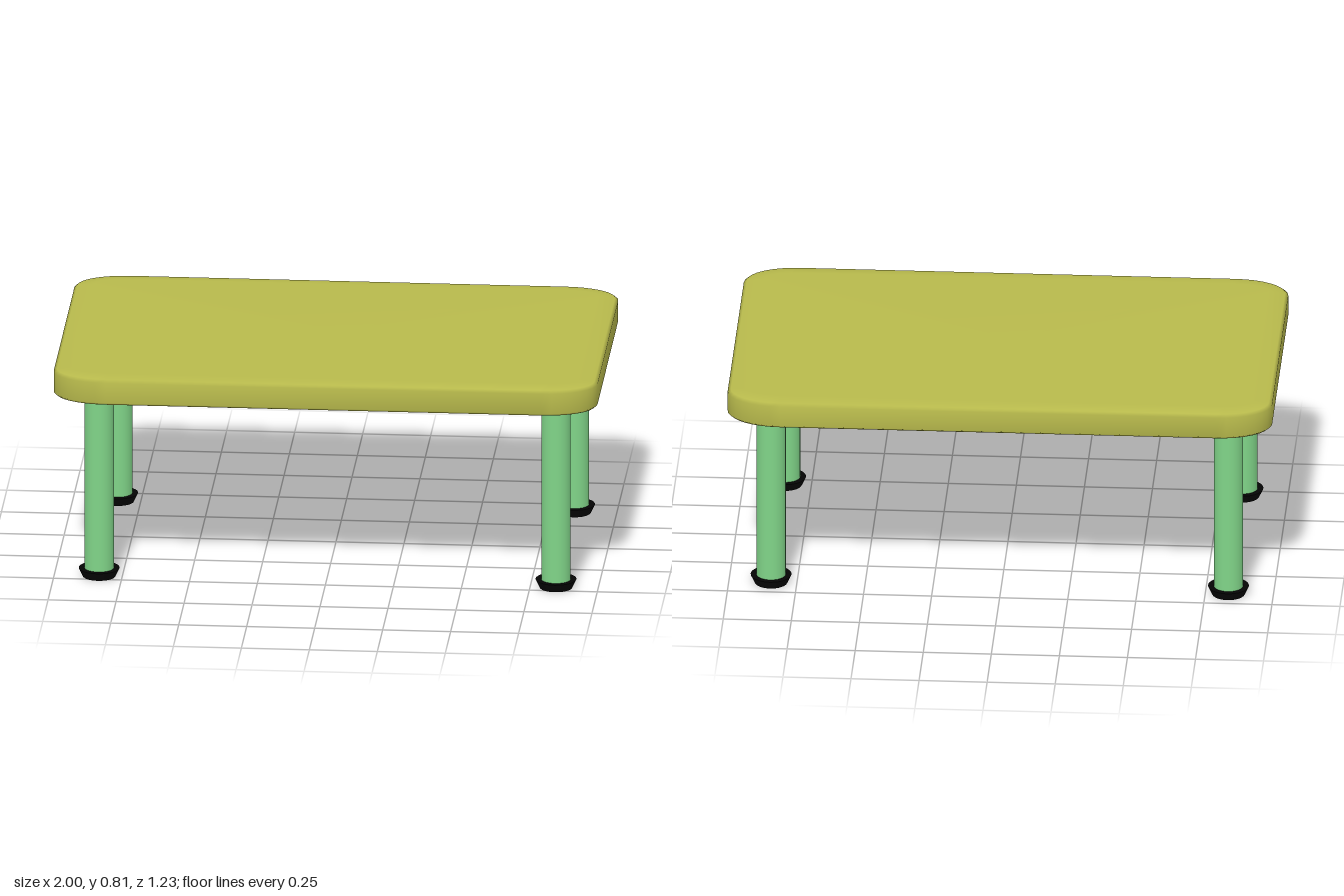
import * as THREE from 'three';

// Rounded-rectangle slab with softened rims, built from stacked outline rings.
function slabGeometry(halfX, halfZ, cornerX, cornerZ, y0, y1) {
  const profile = [[0.07, y0], [0.012, y0 + 0.006], [0, y0 + 0.016],
    [0, y1 - 0.016], [0.012, y1 - 0.006], [0.07, y1]]; // [inset, y]
  const perCorner = 9, n = perCorner * 4;
  const pos = [], index = [];
  for (const [inset, y] of profile) {
    for (let c = 0; c < 4; c++) {
      const sx = c === 0 || c === 3 ? 1 : -1, sz = c < 2 ? 1 : -1;
      for (let k = 0; k < perCorner; k++) {
        const a = (c + k / (perCorner - 1)) * Math.PI / 2;
        pos.push(sx * (halfX - cornerX) + (cornerX - inset) * Math.cos(a), y,
          sz * (halfZ - cornerZ) + (cornerZ - inset) * Math.sin(a));
      }
    }
  }
  const bottom = pos.length / 3, top = bottom + 1;
  pos.push(0, y0, 0, 0, y1, 0);
  const last = (profile.length - 1) * n;
  for (let i = 0; i < n; i++) {
    const j = (i + 1) % n;
    for (let r = 0; r < last; r += n) {
      index.push(r + i, r + n + i, r + j, r + j, r + n + i, r + n + j);
    }
    index.push(bottom, i, j, top, last + j, last + i);
  }
  const g = new THREE.BufferGeometry();
  g.setAttribute('position', new THREE.Float32BufferAttribute(pos, 3));
  g.setIndex(index);
  g.computeVertexNormals();
  return g;
}

export function createModel() {
  const olive = new THREE.MeshStandardMaterial({ name: 'olive', color: 0xb8ba4c });
  const green = new THREE.MeshStandardMaterial({ name: 'green', color: 0x80d488 });
  const black = new THREE.MeshStandardMaterial({ name: 'black', color: 0x050505 });

  const model = new THREE.Group();
  model.name = 'table';

  const add = (name, geometry, material, x, y, z) => {
    const mesh = new THREE.Mesh(geometry, material);
    mesh.name = name;
    mesh.position.set(x, y, z);
    model.add(mesh);
  };

  // Table top
  add('tableTop', slabGeometry(1, 0.613, 0.2, 0.13, 0.704, 0.813), olive, 0, 0, 0);

  // Legs with flared feet
  const legGeometry = new THREE.CylinderGeometry(0.054, 0.054, 0.685, 32);
  const footGeometry = new THREE.CylinderGeometry(0.075, 0.06, 0.032, 32);
  for (const [side, x] of [['Left', 0.845], ['Right', -0.835]]) {
    for (const [end, z] of [['front', 0.457], ['back', -0.41]]) {
      add(`${end}${side}Leg`, legGeometry, green, x, 0.3675, z);
      add(`${end}${side}Foot`, footGeometry, black, x, 0.016, z);
    }
  }
  return model;
}
